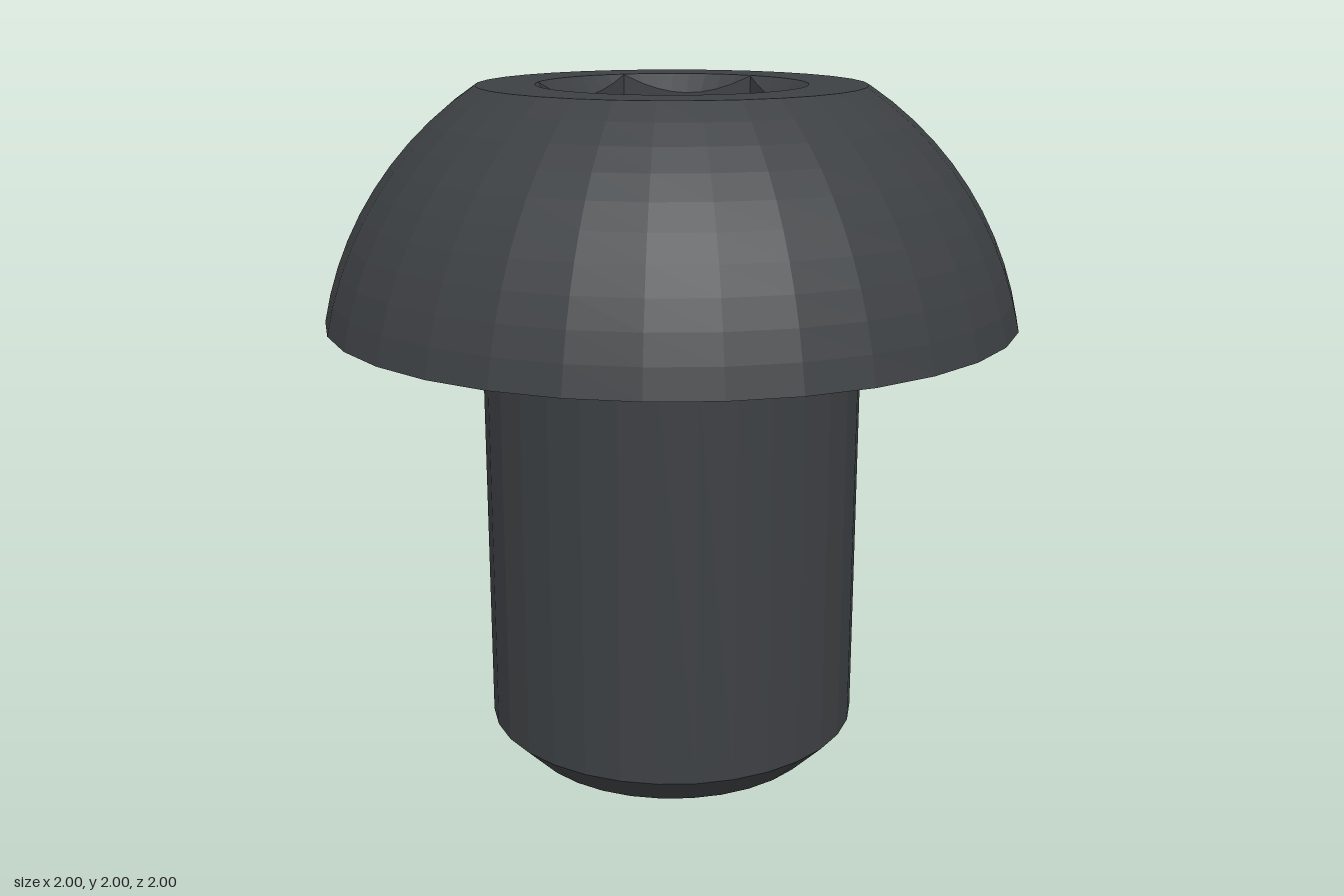
import * as THREE from 'three';

const SIDES = 32;           // facets around the head and shank
const SOCKET_SIDES = 48;    // steps around the socket, a multiple of six
const TOP = 2, HEAD_BASE = 1.34, HEAD_R = 1, SHANK_R = 0.555;
const RIM_R = 0.386, HEX_APOTHEM = 0.333, SOCKET_FLOOR = 1.58;

const material = new THREE.MeshStandardMaterial({ color: 0x3d4043, flatShading: true });

function part(name, geometry) {
  const flat = geometry.index ? geometry.toNonIndexed() : geometry;
  flat.computeVertexNormals();
  const mesh = new THREE.Mesh(flat, material);
  mesh.name = name;
  return mesh;
}

const lathe = (points) =>
  new THREE.LatheGeometry(points.map(([r, y]) => new THREE.Vector2(r, y)), SIDES);

// Points on a circular arc in the (radius, height) plane
function arc(cx, cy, r, from, to, steps) {
  return Array.from({ length: steps + 1 }, (_, i) => {
    const a = from + ((to - from) * i) / steps;
    return [cx + r * Math.cos(a), cy + r * Math.sin(a)];
  });
}

const circle = (r, n) => Array.from({ length: n }, (_, i) => {
  const a = (i / n) * Math.PI * 2;
  return new THREE.Vector2(r * Math.cos(a), r * Math.sin(a));
});

// Countersink and hexagonal wall: circular rim, scalloped hex edge, hex base
function socketWalls() {
  const positions = [], index = [];
  for (let i = 0; i <= SOCKET_SIDES; i++) {
    const a = (i / SOCKET_SIDES) * Math.PI * 2;
    const hexR = HEX_APOTHEM / Math.cos((a % (Math.PI / 3)) - Math.PI / 6);
    const rings = [[RIM_R, TOP], [hexR, TOP - (RIM_R - hexR)], [hexR, SOCKET_FLOOR]];
    for (const [r, y] of rings) positions.push(r * Math.cos(a), y, r * Math.sin(a));
  }
  for (let i = 0; i < SOCKET_SIDES; i++) {
    for (let j = 0; j < 2; j++) {
      const a = i * 3 + j, b = a + 3;
      index.push(a, a + 1, b, b, a + 1, b + 1);
    }
  }
  const geometry = new THREE.BufferGeometry();
  geometry.setAttribute('position', new THREE.Float32BufferAttribute(positions, 3));
  geometry.setIndex(index);
  return geometry;
}

export function createModel() {
  const bolt = new THREE.Group();
  bolt.name = 'buttonHeadBolt';

  // Shank with chamfered tip and a small fillet under the head
  const fillet = 0.04;
  bolt.add(part('shank', lathe([
    [0, 0], [SHANK_R - 0.1, 0], [SHANK_R, 0.1],
    ...arc(SHANK_R + fillet, HEAD_BASE - fillet, fillet, Math.PI, Math.PI / 2, 5),
  ])));

  // Domed head: underside, then an arc centred on the axis
  const cy = 1.146;
  const domeR = Math.hypot(HEAD_R, HEAD_BASE - cy);
  bolt.add(part('head', lathe([
    [SHANK_R + fillet, HEAD_BASE],
    ...arc(0, cy, domeR, Math.atan2(HEAD_BASE - cy, HEAD_R), Math.atan2(TOP - cy, SHANK_R), 10),
  ])));

  // Flat ring on top of the head
  const ring = new THREE.Shape(circle(SHANK_R, SIDES));
  ring.holes.push(new THREE.Path(circle(RIM_R, SOCKET_SIDES)));
  bolt.add(part('topRing', new THREE.ShapeGeometry(ring).rotateX(-Math.PI / 2).translate(0, TOP, 0)));

  // Hexagonal drive socket
  bolt.add(part('socketWalls', socketWalls()));
  const floor = new THREE.CircleGeometry(HEX_APOTHEM / Math.cos(Math.PI / 6), 6);
  bolt.add(part('socketFloor', floor.rotateX(-Math.PI / 2).translate(0, SOCKET_FLOOR, 0)));

  return bolt;
}
